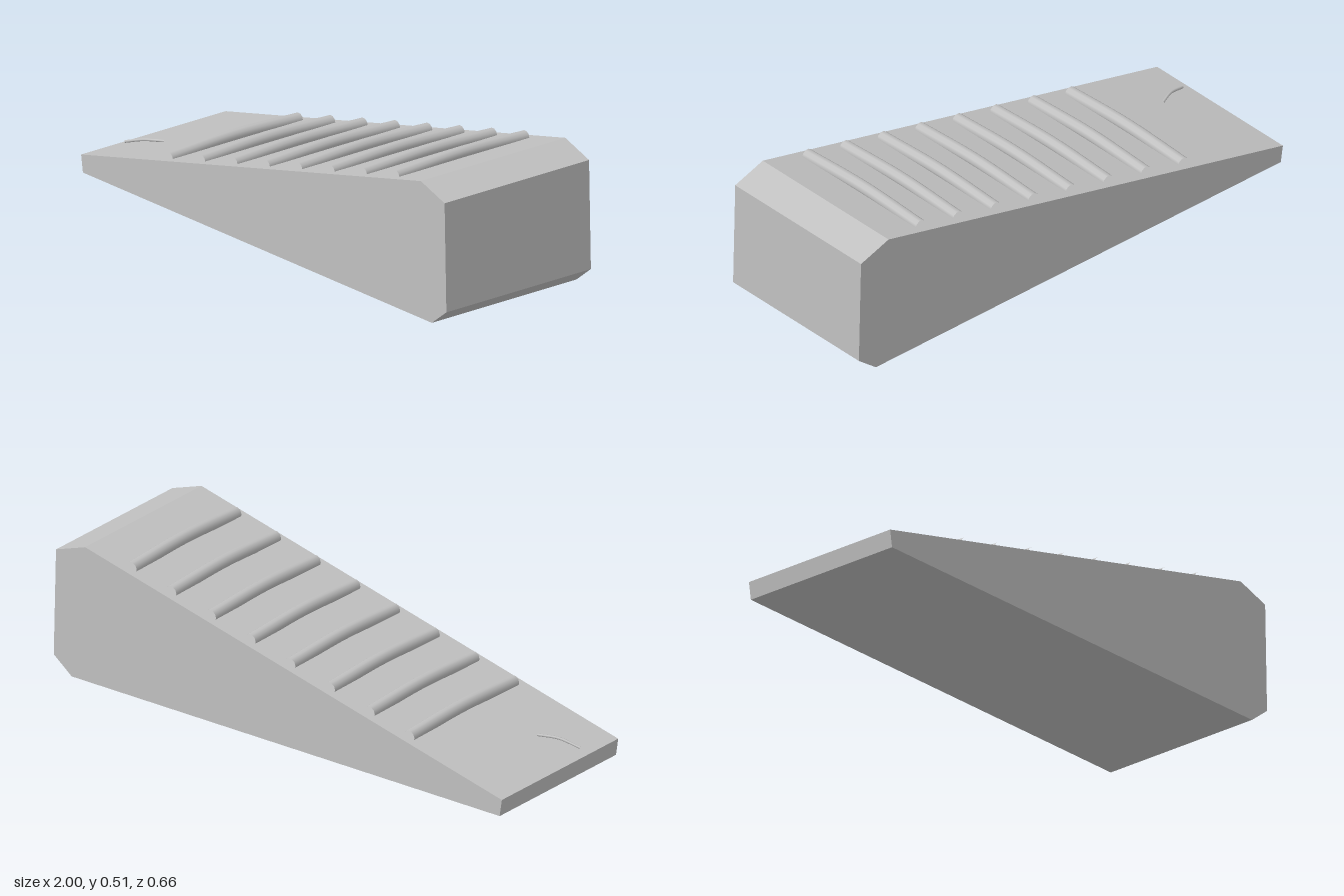
import * as THREE from 'three';

const grey = new THREE.MeshStandardMaterial({ color: 0xc0c0c0 });
grey.name = 'light grey';

const halfWidth = 0.33;
const slopeY = (x) => 0.065 + (x + 1) * 0.242; // height of the sloping top

// Smooth open-ended tube through a few points
function tube(name, points, radius, segments, sides) {
  const path = new THREE.CatmullRomCurve3(points.map((p) => new THREE.Vector3(...p)));
  const mesh = new THREE.Mesh(new THREE.TubeGeometry(path, segments, radius, sides, false), grey);
  mesh.name = name;
  return mesh;
}

export function createModel() {
  const model = new THREE.Group();
  model.name = 'doorWedge';

  // Wedge body: side profile extruded across the width
  const profile = [[-0.99, 0], [0.92, 0], [1, 0.063], [0.99, 0.47], [0.86, 0.515], [-1, 0.065]];
  const shape = new THREE.Shape(profile.map(([x, y]) => new THREE.Vector2(x, y)));
  const geometry = new THREE.ExtrudeGeometry(shape, { depth: halfWidth * 2, bevelEnabled: false });
  geometry.translate(0, 0, -halfWidth);
  const body = new THREE.Mesh(geometry, grey);
  body.name = 'wedgeBody';
  model.add(body);

  // Grip ribs, half sunk in the slope and arched slightly in the middle
  const ribs = new THREE.Group();
  ribs.name = 'gripRibs';
  for (let i = 0; i < 8; i++) {
    const x = -0.56 + i * 0.1771;
    const y = slopeY(x) + 0.002;
    ribs.add(tube('gripRib', [[x, y, 0.297], [x, y + 0.012, 0], [x, y, -0.297]], 0.024, 16, 10));
  }
  model.add(ribs);

  // Small curved ridge near the thin end
  model.add(tube('curvedRidge',
    [[-0.965, 0.082, 0.158], [-0.89, 0.105, 0.135], [-0.82, 0.112, 0.1]], 0.005, 16, 8));

  return model;
}
